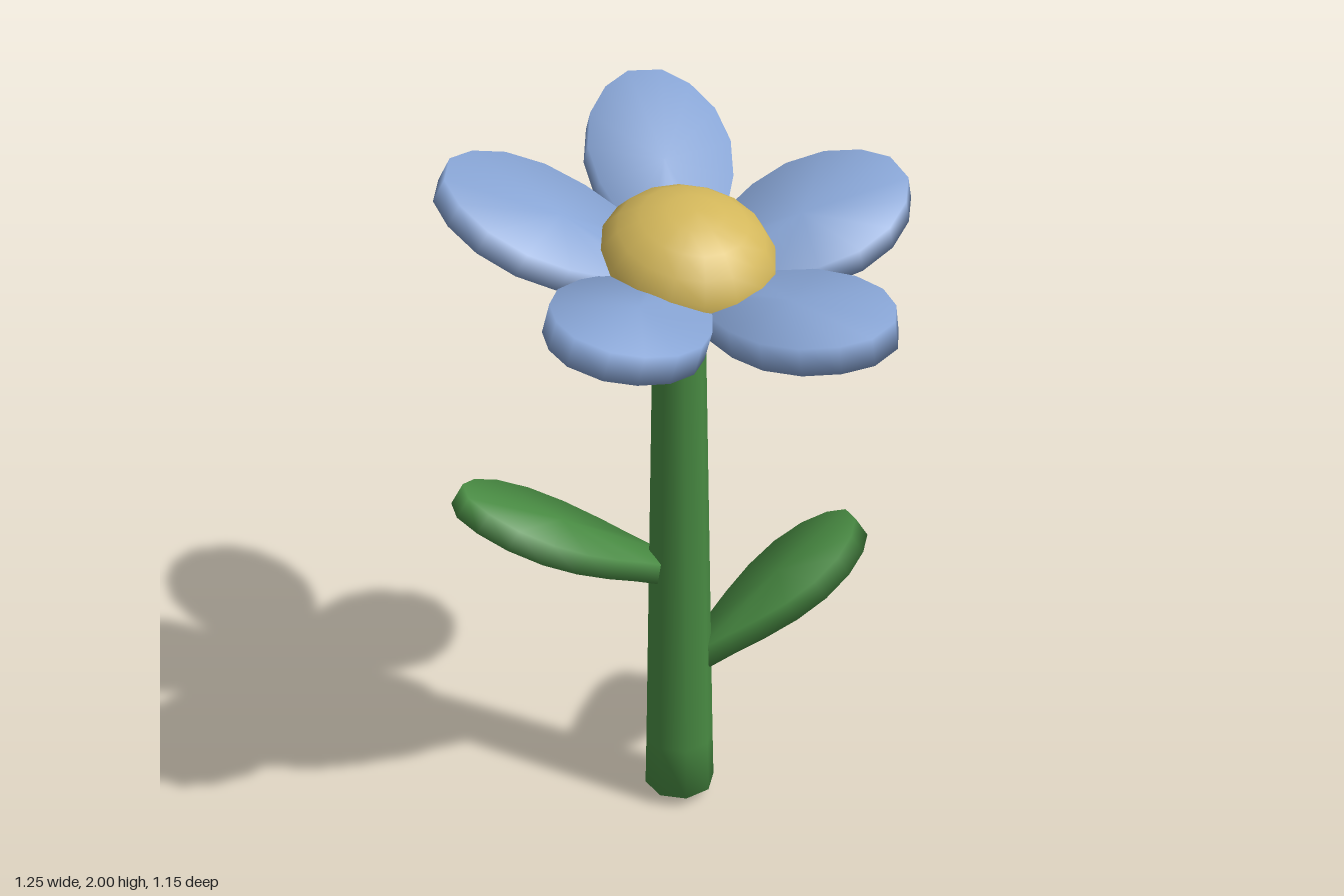
import * as THREE from 'three';

const mat = (name, color) => {
  const m = new THREE.MeshStandardMaterial({ color });
  m.name = name;
  return m;
};

// Half outline of a blade: [fraction of length, fraction of half width]
const OUTLINE = [
  [0, 0.26], [0.15, 0.47], [0.3, 0.72], [0.47, 0.93], [0.64, 1],
  [0.8, 0.88], [0.925, 0.6], [1, 0.24],
];

// Egg-shaped pillow along +z with a blunt rim and slightly raised middle
function bladeGeometry(length, halfWidth, rim, middle) {
  const side = OUTLINE.map(([t, w]) => [w * halfWidth, t * length]);
  const ring = [...side, ...side.map(([x, z]) => [-x, z]).reverse()];
  const n = ring.length;
  const pos = [];
  ring.forEach(([x, z]) => pos.push(x, rim, z));
  ring.forEach(([x, z]) => pos.push(x, -rim, z));
  pos.push(0, middle, length * 0.55, 0, -middle, length * 0.55);
  const index = [];
  for (let i = 0; i < n; i++) {
    const j = (i + 1) % n;
    index.push(2 * n, j, i, 2 * n + 1, n + i, n + j);
    index.push(i, j, n + i, j, n + j, n + i);
  }
  const g = new THREE.BufferGeometry();
  g.setAttribute('position', new THREE.Float32BufferAttribute(pos, 3));
  g.setIndex(index);
  g.computeVertexNormals();
  return g;
}

// Blade from base towards a horizontal offset, lying in a plane of slope (gx, gz)
function blade(name, material, base, dx, dz, gx, gz, halfWidth, rim, middle) {
  const along = new THREE.Vector3(dx, gx * dx + gz * dz, dz);
  const length = along.length();
  const up = new THREE.Vector3(-gx, 1, -gz).normalize();
  along.normalize();
  const across = new THREE.Vector3().crossVectors(up, along);
  const mesh = new THREE.Mesh(bladeGeometry(length, halfWidth, rim, middle), material);
  mesh.quaternion.setFromRotationMatrix(new THREE.Matrix4().makeBasis(across, up, along));
  mesh.position.set(...base);
  mesh.name = name;
  return mesh;
}

export function createModel() {
  const green = mat('leaf green', 0x488a42);
  const blue = mat('petal blue', 0x87a4d4);
  const yellow = mat('centre yellow', 0xd2b65a);
  const model = new THREE.Group();
  model.name = 'flower';

  // Tapered stem with a shallow pointed foot
  const profile = [[0, 0], [0.1, 0.035], [0.096, 0.2], [0.068, 1.6]]
    .map(([r, y]) => new THREE.Vector2(r, y));
  const stem = new THREE.Mesh(new THREE.LatheGeometry(profile, 8), green);
  stem.position.x = -0.005;
  stem.name = 'stem';
  model.add(stem);

  // Leaves
  model.add(blade('leftLeaf', green, [0.05, 0.465, 0], 0.475, -0.12, 0.64, 0, 0.14, 0.034, 0.046));
  model.add(blade('rightLeaf', green, [-0.05, 0.765, 0], -0.55, 0.08, -0.6, 0, 0.138, 0.032, 0.044));

  // Petals: cupped upwards, whole head nodding forward
  const cup = 0.36, leanX = -0.1, leanZ = -0.27;
  const petals = new THREE.Group();
  petals.name = 'petals';
  const tips = [[0.003, -0.55], [-0.585, -0.1], [-0.325, 0.55], [0.4, 0.495], [0.605, -0.13]];
  tips.forEach(([x, z], i) => {
    const r = Math.hypot(x, z);
    petals.add(blade('petal' + (i + 1), blue, [0.01, 1.615, 0], x - 0.01, z,
      cup * x / r + leanX, cup * z / r + leanZ, 0.192, 0.037, 0.05));
  });
  model.add(petals);

  // Flattened flower centre, leaning with the head
  const centre = new THREE.Mesh(new THREE.SphereGeometry(1, 16, 10), yellow);
  centre.scale.set(0.235, 0.17, 0.235);
  centre.position.set(0.01, 1.69, 0.015);
  centre.quaternion.setFromUnitVectors(new THREE.Vector3(0, 1, 0),
    new THREE.Vector3(-leanX, 1, -leanZ).normalize());
  centre.name = 'flowerCentre';
  model.add(centre);

  return model;
}
